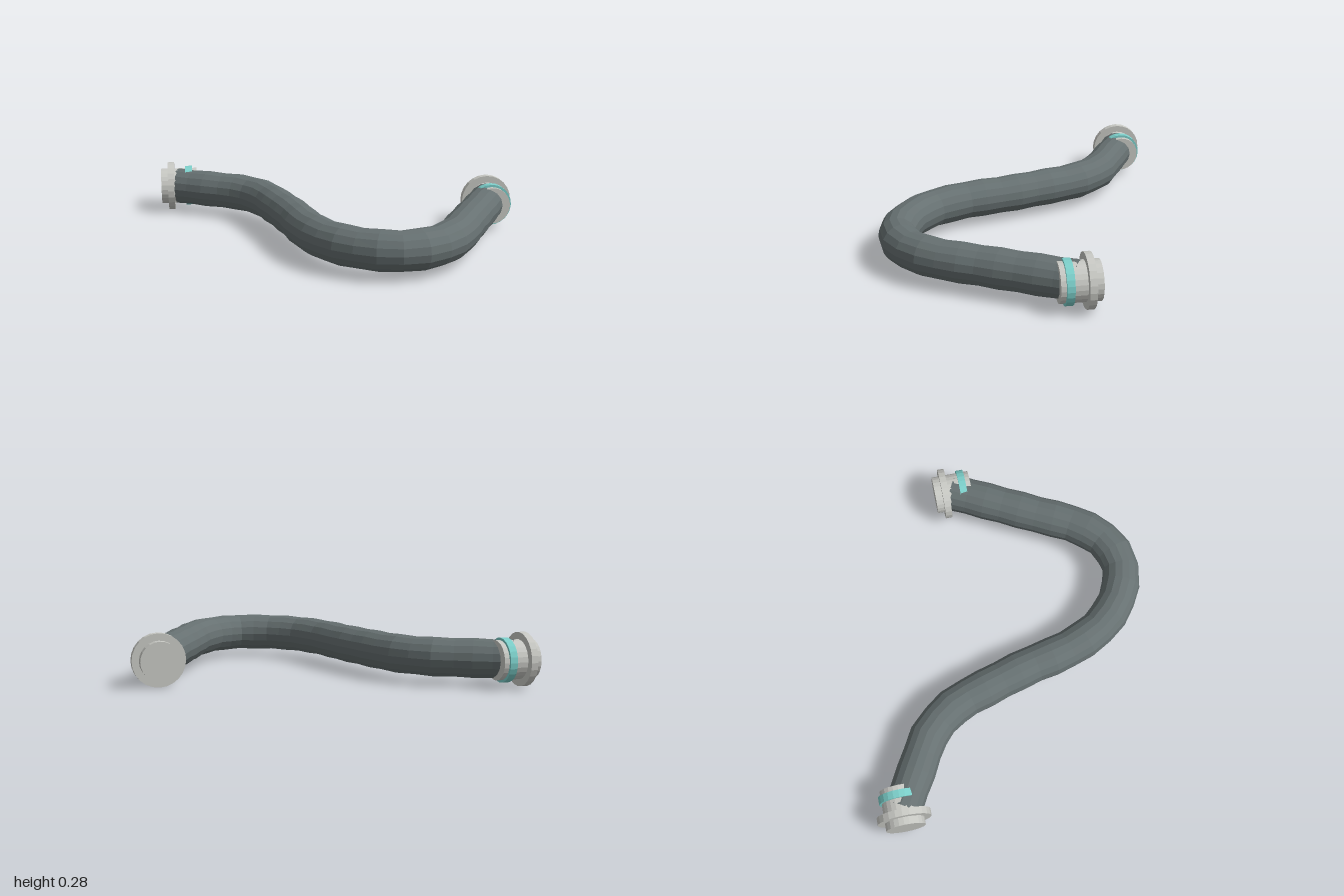
import * as THREE from 'three';

const Y = 0.142; // height of the hose centre line

const mat = (name, color) => {
  const m = new THREE.MeshStandardMaterial({ color, flatShading: true });
  m.name = name;
  return m;
};

export function createModel() {
  const model = new THREE.Group();
  model.name = 'flexibleHose';
  const rubber = mat('dark grey rubber', 0x667071);
  const metal = mat('pale grey metal', 0xc8c9c4);
  const teal = mat('teal seal', 0x7ccfca);

  // Hose: an S-shaped tube with a gentle ripple along its length
  const path = new THREE.CatmullRomCurve3([
    [-0.895, -0.71], [-0.69, -0.59], [-0.53, -0.495], [-0.41, -0.345], [-0.335, -0.13],
    [-0.27, 0.095], [-0.215, 0.335], [-0.12, 0.54], [0.035, 0.68], [0.21, 0.735],
    [0.38, 0.68], [0.51, 0.54], [0.605, 0.365], [0.705, 0.18], [0.857, -0.105],
  ].map(([x, z]) => new THREE.Vector3(x, Y, z)));
  const segments = 30, sides = 16;
  const geo = new THREE.TubeGeometry(path, segments, 0.106, sides, false);
  const pos = geo.attributes.position;
  const v = new THREE.Vector3();
  for (let i = 0; i < pos.count; i++) {
    const ring = Math.floor(i / (sides + 1));
    const centre = path.getPointAt(ring / segments);
    v.fromBufferAttribute(pos, i).sub(centre).multiplyScalar(ring % 2 ? 0.96 : 1).add(centre);
    pos.setXYZ(i, v.x, v.y, v.z);
  }
  geo.computeVertexNormals();
  const hose = new THREE.Mesh(geo, rubber);
  hose.name = 'hose';
  model.add(hose);

  // Coupling: built along +y, from the outer end (0) towards the hose
  function coupling(name) {
    const group = new THREE.Group();
    group.name = name;
    const ring = (part, radius, from, to, material) => {
      const mesh = new THREE.Mesh(
        new THREE.CylinderGeometry(radius, radius, to - from, 24), material);
      mesh.position.y = (from + to) / 2;
      mesh.name = part;
      group.add(mesh);
    };
    ring('sleeve', 0.104, 0, 0.21, metal);
    ring('flange', 0.142, 0.04, 0.077, metal);
    ring('sealRing', 0.117, 0.143, 0.183, teal);
    model.add(group);
    return group;
  }
  const right = coupling('rightCoupling');
  right.rotation.z = -Math.PI / 2;
  right.position.set(-1, Y, -0.71);

  const left = coupling('leftCoupling');
  left.rotation.x = Math.PI / 2;
  left.position.set(0.857, Y, -0.21);

  return model;
}
